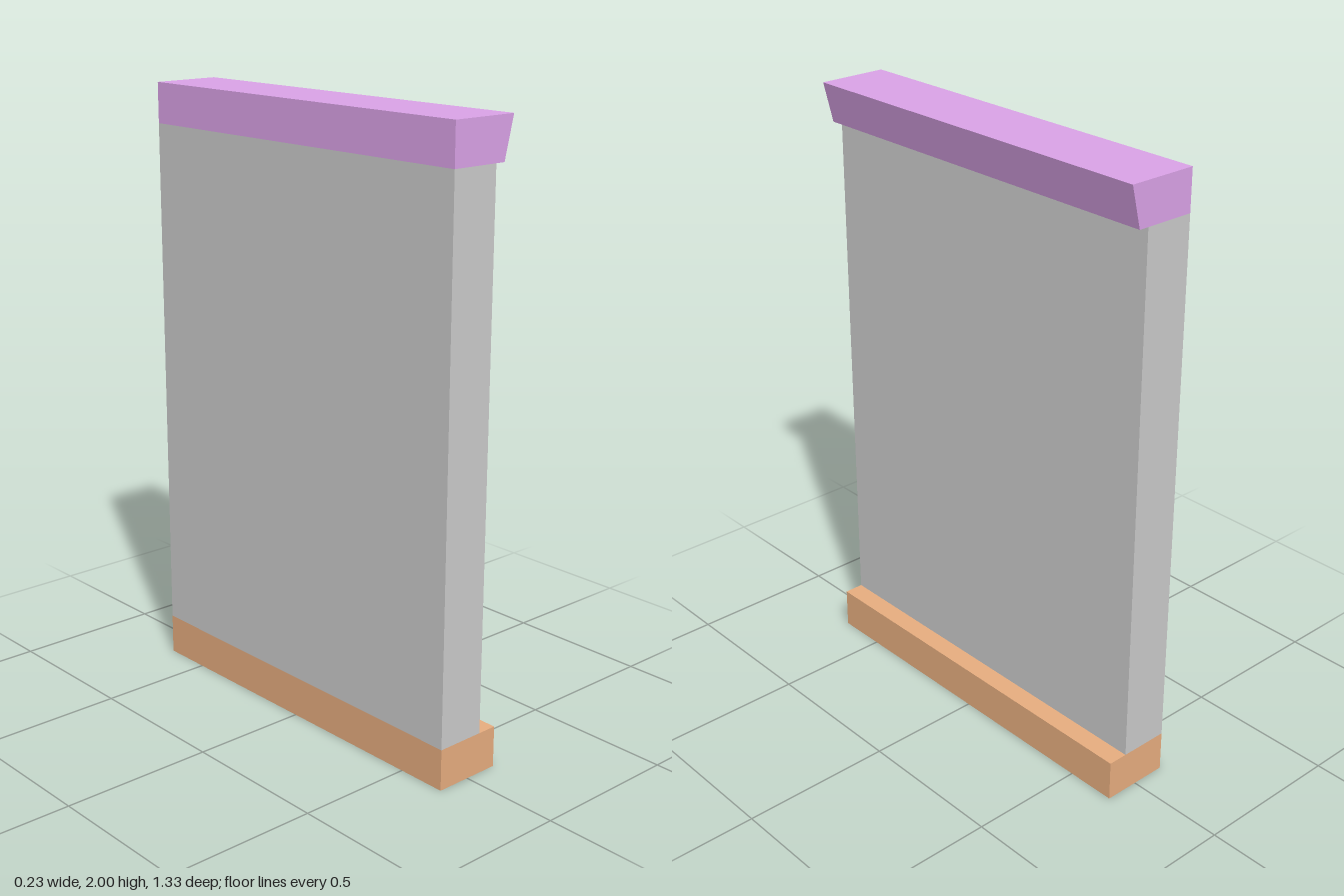
import * as THREE from 'three';

const BACK = -0.115, FRONT = 0.115, DEPTH = 1.333;
const BASE_TOP = 0.135, CAP_BOTTOM = 1.868, TOP = 2;

// Extrudes an x-y outline along the full length of the wall, centred on z = 0
function profile(name, points, color) {
  const shape = new THREE.Shape(points.map(([x, y]) => new THREE.Vector2(x, y)));
  const geometry = new THREE.ExtrudeGeometry(shape, { depth: DEPTH, bevelEnabled: false });
  geometry.translate(0, 0, -DEPTH / 2);
  const mesh = new THREE.Mesh(geometry, new THREE.MeshStandardMaterial({ color }));
  mesh.name = name;
  return mesh;
}

const rect = (x0, y0, x1, y1) => [[x0, y0], [x1, y0], [x1, y1], [x0, y1]];

export function createModel() {
  const group = new THREE.Group();
  group.name = 'wallPanel';
  group.add(
    // Square plinth projecting on the +x side
    profile('basePlinth', rect(BACK, 0, FRONT, BASE_TOP), 0xe8ae80),
    // Plain wall slab, flush with the plinth on the -x side
    profile('wall', rect(BACK, BASE_TOP, 0.049, CAP_BOTTOM), 0xcccccc),
    // Cornice with a sloping outer face
    profile('cornice', [[BACK, CAP_BOTTOM], [0.082, CAP_BOTTOM], [FRONT, TOP], [BACK, TOP]], 0xdba3e8)
  );
  return group;
}
